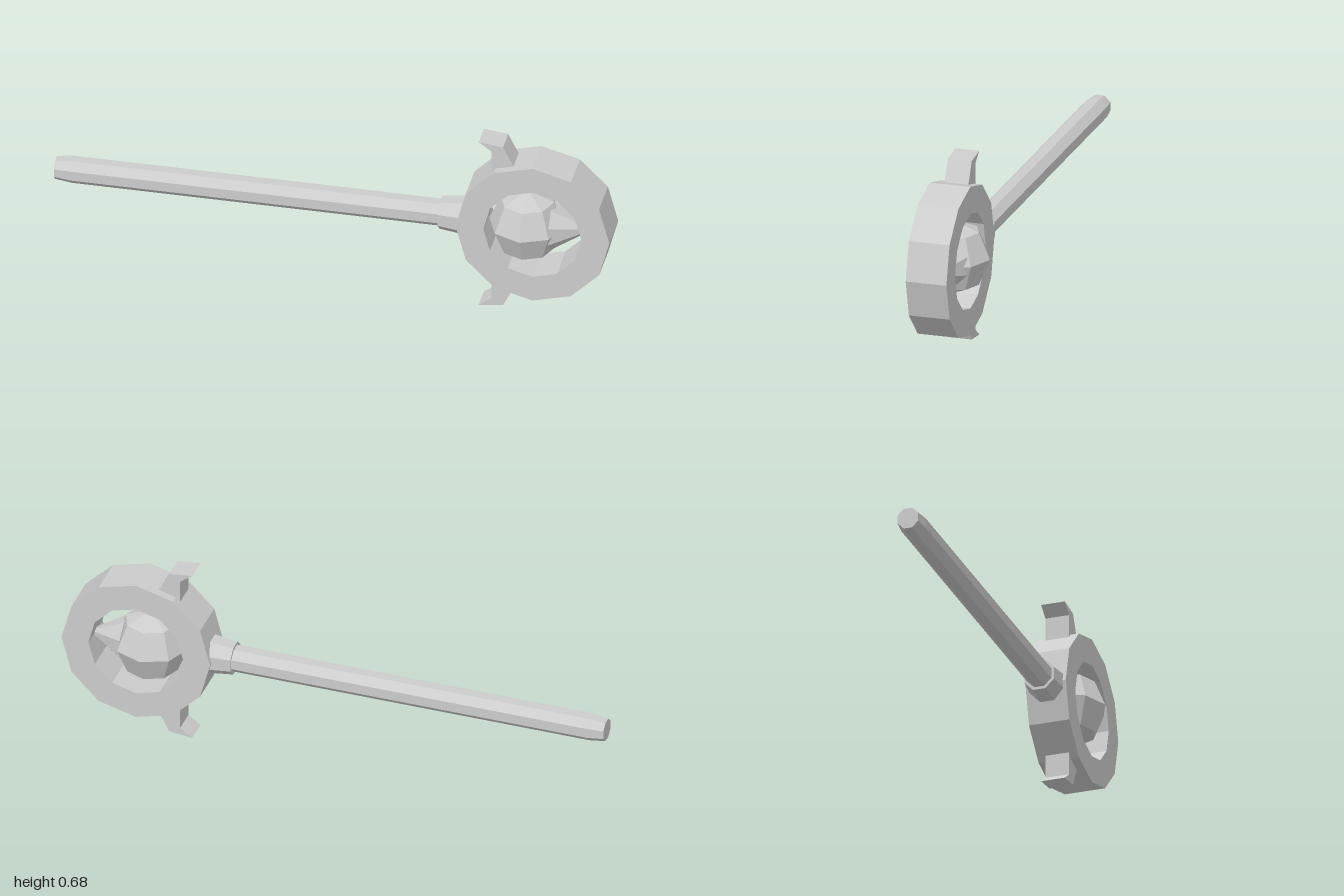
import * as THREE from 'three';

const CY = 0.341; // height of the staff axis
const material = new THREE.MeshStandardMaterial({ color: 0xcccccc, flatShading: true });

function add(group, name, geometry) {
  const mesh = new THREE.Mesh(geometry, material);
  mesh.name = name;
  group.add(mesh);
  return mesh;
}

// Eight-sided bar along x from x0 to x1, flat faces up; a0 and a1 are half-widths across flats
function bar(x0, x1, a0, a1) {
  const k = 1 / Math.cos(Math.PI / 8);
  return new THREE.CylinderGeometry(a1 * k, a0 * k, x1 - x0, 8)
    .rotateY(Math.PI / 8)
    .rotateZ(-Math.PI / 2)
    .translate((x0 + x1) / 2, CY, 0);
}

function polygon(radius, sides, Type) {
  const points = [];
  for (let i = 0; i < sides; i++) {
    const a = (i / sides) * Math.PI * 2;
    points.push(new THREE.Vector2(radius * Math.cos(a), radius * Math.sin(a)));
  }
  return new Type(points);
}

function extrude(shape, depth) {
  return new THREE.ExtrudeGeometry(shape, { depth, bevelEnabled: false }).translate(0, 0, -depth / 2);
}

export function createModel() {
  const group = new THREE.Group();
  group.name = 'staff';

  // Handle with a tapered butt and a flared collar
  add(group, 'buttEnd', bar(-1, -0.94, 0.038, 0.045));
  add(group, 'shaft', bar(-0.94, 0.39, 0.045, 0.045));
  add(group, 'collar', bar(0.38, 0.48, 0.055, 0.066));

  // Twelve-sided ring
  const ring = polygon(0.276, 12, THREE.Shape);
  ring.holes.push(polygon(0.176, 12, THREE.Path));
  add(group, 'ring', extrude(ring, 0.15).translate(0.724, CY, 0));

  // Faceted orb with a blunt cone pushed over its outer side
  add(group, 'orb', new THREE.SphereGeometry(0.136, 8, 4).translate(0.69, CY, 0));
  add(group, 'orbPoint', bar(0.782, 0.9, 0.081, 0.014));

  // Hooked horns above and below the ring
  for (const s of [1, -1]) {
    const points = [[0.525, 0.341], [0.612, 0.331], [0.65, 0.255], [0.65, 0.22], [0.57, 0.21], [0.57, 0.308]]
      .map(([x, y]) => new THREE.Vector2(x, CY + s * y));
    add(group, s > 0 ? 'upperHorn' : 'lowerHorn', extrude(new THREE.Shape(points), 0.088));
  }
  return group;
}
